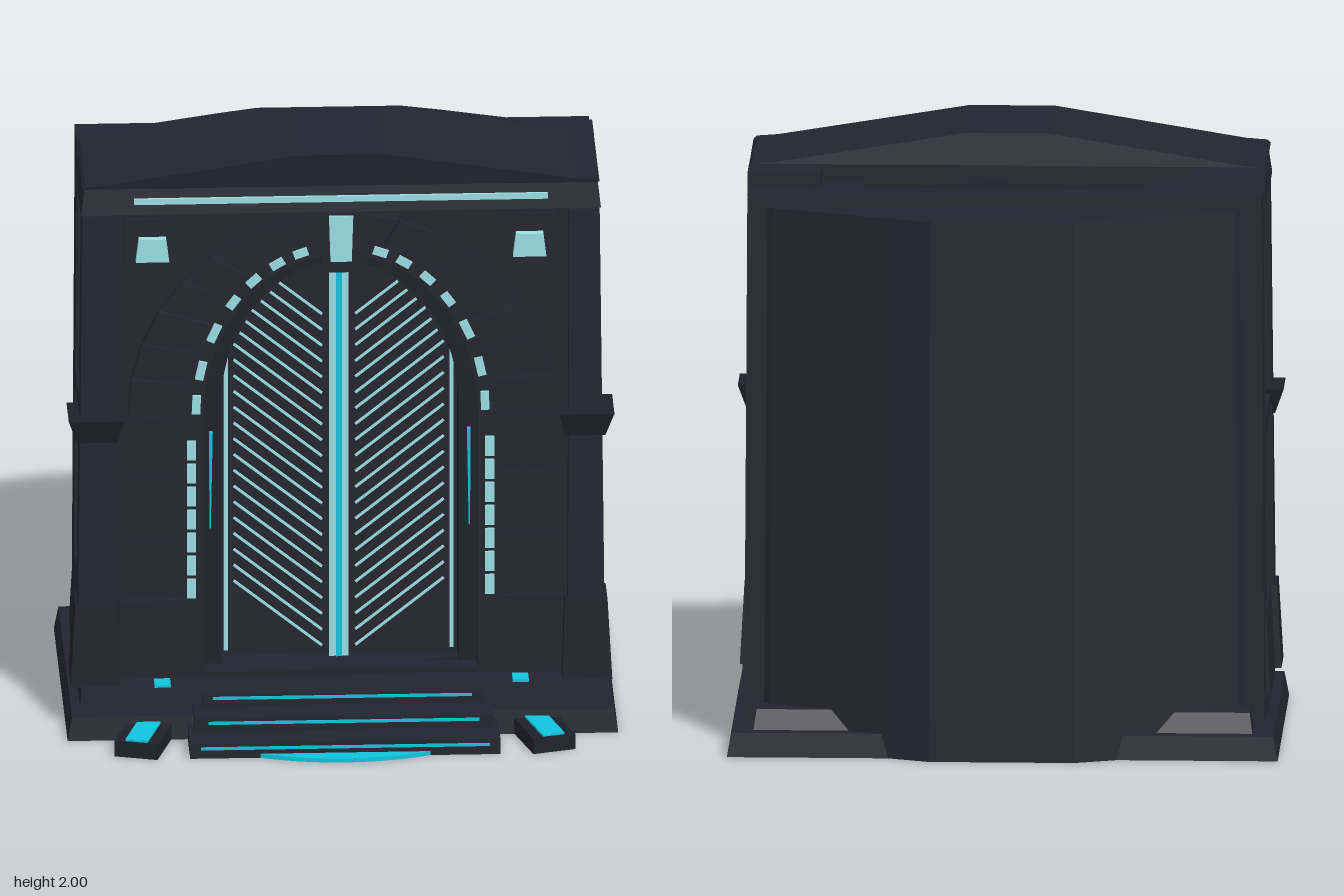
import * as THREE from 'three';

const mat = (name, color) => Object.assign(new THREE.MeshStandardMaterial({ color }), { name });

export function createModel() {
  const stone = mat('dark stone', 0x242430);
  const trim = mat('darker trim', 0x20202a);
  const pale = mat('pale light', 0x9adfe3);
  const cyan = mat('cyan light', 0x12c4dc);
  const root = new THREE.Group();
  root.name = 'gateMonument';
  const SPRING = 1.08;

  const add = (name, geo, material, parent = root) => {
    const m = new THREE.Mesh(geo, material);
    m.name = name;
    parent.add(m);
    return m;
  };
  const box = (name, x0, x1, y0, y1, z0, z1, material) => {
    const m = add(name, new THREE.BoxGeometry(x1 - x0, y1 - y0, z1 - z0), material);
    m.position.set((x0 + x1) / 2, (y0 + y1) / 2, (z0 + z1) / 2);
    return m;
  };
  // Box whose bottom and top rectangles [x0, x1, z0, z1] differ
  const taper = (name, y0, y1, b, t, material) => {
    const g = new THREE.BoxGeometry(1, 1, 1).toNonIndexed();
    const p = g.attributes.position;
    for (let i = 0; i < p.count; i++) {
      const up = p.getY(i) > 0, r = up ? t : b;
      p.setXYZ(i, p.getX(i) > 0 ? r[1] : r[0], up ? y1 : y0, p.getZ(i) > 0 ? r[3] : r[2]);
    }
    g.computeVertexNormals();
    return add(name, g, material);
  };
  const poly = pts => new THREE.Shape(pts.map(p => new THREE.Vector2(p[0], p[1])));
  const extrude = (name, shape, z0, z1, material) => {
    const g = new THREE.ExtrudeGeometry(shape, { depth: z1 - z0, bevelEnabled: false, curveSegments: 24 });
    return add(name, g.translate(0, 0, z0), material);
  };
  // Outline of a round-headed opening
  const archPoints = (rx, ry, y0) => {
    const pts = [[-rx, y0], [rx, y0]];
    for (let i = 0; i <= 28; i++) {
      const a = Math.PI * i / 28;
      pts.push([rx * Math.cos(a), SPRING + ry * Math.sin(a)]);
    }
    return pts;
  };
  const mirrored = fn => [-1, 1].forEach(fn);
  // Box on one side, given by its distances from the middle
  const sideBox = (s, name, a, b, ...rest) =>
    box(name, Math.min(s * a, s * b), Math.max(s * a, s * b), ...rest);
  const sideTaper = (s, name, y0, y1, b, t, material) => {
    const f = r => s > 0 ? r : [-r[1], -r[0], r[2], r[3]];
    return taper(name, y0, y1, f(b), f(t), material);
  };

  // Base and plinth
  taper('base', 0, 0.08, [-0.905, 0.905, -0.61, 0.425], [-0.89, 0.89, -0.6, 0.415], stone);
  taper('plinth', 0.08, 0.152, [-0.86, 0.86, -0.3, 0.335], [-0.855, 0.855, -0.3, 0.33], stone);
  taper('rearPlinth', 0.08, 0.145, [-0.82, 0.82, -0.555, -0.28], [-0.81, 0.81, -0.53, -0.28], stone);

  // Solid core and portal wall with its arched opening
  taper('core', 0.15, 1.8, [-0.845, 0.845, -0.28, 0.09], [-0.83, 0.83, -0.27, 0.09], stone);
  const wall = poly([[-0.8, 0.15], [0.8, 0.15], [0.8, 1.8], [-0.8, 1.8]]);
  wall.holes.push(new THREE.Path(archPoints(0.45, 0.55, 0.17).map(p => new THREE.Vector2(...p))));
  extrude('portalWall', wall, 0.09, 0.25, stone);
  const frame = poly(archPoints(0.46, 0.56, 0.16));
  frame.holes.push(new THREE.Path(archPoints(0.39, 0.5, 0.17).map(p => new THREE.Vector2(...p))));
  extrude('doorFrame', frame, 0.09, 0.18, trim);
  extrude('door', poly(archPoints(0.395, 0.505, 0.15)), 0.08, 0.1, stone);

  // Wedge stones around the arch
  const COUNT = 17;
  for (let i = 0; i < COUNT; i++) {
    const a0 = Math.PI * (i + 0.03) / COUNT, a1 = Math.PI * (i + 0.97) / COUNT;
    const at = (rx, ry, a) => [rx * Math.cos(a), SPRING + ry * Math.sin(a)];
    const shape = poly([at(0.51, 0.61, a0), at(0.7, 0.7, a0), at(0.7, 0.7, a1), at(0.51, 0.61, a1)]);
    extrude('archStone', shape, 0.24, i % 2 ? 0.268 : 0.275, stone);
  }
  extrude('keystone', poly([[-0.06, 1.58], [0.06, 1.58], [0.075, 1.79], [-0.075, 1.79]]), 0.24, 0.284, stone);
  extrude('keystoneLight', poly([[-0.035, 1.62], [0.035, 1.62], [0.04, 1.78], [-0.04, 1.78]]), 0.284, 0.292, pale);

  // Centre light of the door
  box('doorCentreLight', -0.032, 0.032, 0.16, 1.58, 0.1, 0.125, pale);
  box('doorCentreLine', -0.01, 0.01, 0.17, 1.58, 0.125, 0.13, cyan);

  mirrored(s => {
    // Door edge light and slanting ribs
    sideBox(s, 'doorEdgeLight', 0.364, 0.378, 0.19, 1.235, 0.1, 0.112, pale);
    for (let k = 0; k < 22; k++) {
      const y0 = 0.2 + k * 0.0555;
      let x = 0.055;
      while (x < 0.345) {
        const y = y0 + 0.8 * (x - 0.055);
        if (y > SPRING && (x / 0.37) ** 2 + ((y - SPRING) / 0.46) ** 2 > 1) break;
        x += 0.005;
      }
      const dx = x - 0.055, dy = 0.8 * dx;
      if (dx < 0.03) continue;
      const rib = add('doorRib', new THREE.BoxGeometry(Math.hypot(dx, dy), 0.008, 0.008), pale);
      rib.position.set(s * (0.055 + dx / 2), y0 + dy / 2, 0.103);
      rib.rotation.z = s * Math.atan(0.8);
    }

    // Lights on the jambs and around the arch
    for (let k = 0; k < 7; k++) {
      const y = 0.43 + k * 0.081;
      sideBox(s, 'jambLight', 0.475, 0.505, y, y + 0.068, 0.25, 0.258, pale);
    }
    [3, 15, 29, 42, 53, 64, 74].forEach((deg, i) => {
      const a = THREE.MathUtils.degToRad(deg);
      const m = add('archLight', new THREE.BoxGeometry(0.028, i < 3 ? 0.065 : 0.048, 0.008), pale);
      m.position.set(s * 0.475 * Math.cos(a), SPRING + 0.58 * Math.sin(a), 0.254);
      m.rotation.z = s * Math.atan2(0.475 * Math.sin(a), 0.58 * Math.cos(a));
    });
    sideTaper(s, 'revealLight', 0.65, 0.99, [0.424, 0.428, 0.181, 0.19], [0.418, 0.43, 0.181, 0.2], cyan);

    // Low wall courses beside the door
    [[0.16, 0.43], [0.436, 0.64], [0.646, 0.86], [0.866, 1.07]].forEach(([y0, y1], i) =>
      sideBox(s, 'jambBlock', 0.525, 0.73, y0, y1, 0.24, i ? 0.262 : 0.275, stone));

    // Corner pillar, foot, flared band and capital
    sideTaper(s, 'pillarFoot', 0.15, 0.425, [0.725, 0.89, 0.14, 0.325], [0.735, 0.875, 0.16, 0.31], trim);
    sideTaper(s, 'sideFoot', 0.15, 0.425, [0.7, 0.87, -0.285, 0.16], [0.7, 0.855, -0.28, 0.16], stone);
    sideTaper(s, 'pillar', 0.42, 1.79, [0.745, 0.865, 0.165, 0.305], [0.75, 0.85, 0.165, 0.29], stone);
    sideTaper(s, 'pillarBand', 1.0, 1.085, [0.735, 0.868, 0.175, 0.303], [0.715, 0.897, 0.15, 0.33], trim);
    sideBox(s, 'sideBand', 0.8, 0.852, 1.0, 1.07, -0.277, 0.17, stone);
    sideTaper(s, 'rearPillar', 0.42, 1.79, [0.75, 0.856, -0.28, -0.225], [0.75, 0.845, -0.272, -0.225], stone);

    // Upper corner block and its light
    sideBox(s, 'cornerPanel', 0.54, 0.71, 1.6, 1.77, 0.24, 0.27, stone);
    const l = [[0.575, 1.71], [0.665, 1.71], [0.675, 1.63], [0.565, 1.63]];
    extrude('cornerLight', poly(l.map(p => [s * p[0], p[1]])), 0.27, 0.298, pale);

    // Raised ends behind the roof
    sideBox(s, 'rearCornerBlock', 0.61, 0.85, 1.79, 1.89, -0.272, -0.14, stone);
    sideBox(s, 'rearSmallBlock', 0.47, 0.61, 1.79, 1.84, -0.27, -0.14, stone);

    // Splayed floor lamps and small step lights
    const lamp = new THREE.Group();
    lamp.name = 'floorLamp';
    lamp.position.set(s * 0.66, 0, 0.495);
    lamp.rotation.y = s * 0.28;
    root.add(lamp);
    add('lampBody', new THREE.BoxGeometry(0.145, 0.054, 0.2), trim, lamp).position.y = 0.027;
    add('lampLight', new THREE.BoxGeometry(0.075, 0.008, 0.185), cyan, lamp).position.y = 0.057;
    sideBox(s, 'stepLight', 0.562, 0.615, 0.15, 0.16, 0.28, 0.34, cyan);
  });

  // Cornice, light strip and sloped roof
  taper('cornice', 1.79, 1.895, [-0.855, 0.855, -0.15, 0.275], [-0.84, 0.84, -0.15, 0.26], stone);
  box('corniceLight', -0.68, 0.68, 1.825, 1.845, 0.262, 0.277, pale);
  const roof = extrude('roof', poly([[-0.85, 1.885], [0.85, 1.885], [0.84, 1.895], [0.77, 1.9],
    [0.14, 2], [-0.14, 2], [-0.77, 1.9], [-0.84, 1.895]]), -0.15, 0.285, stone);
  const rp = roof.geometry.attributes.position;
  for (let i = 0; i < rp.count; i++) rp.setZ(i, rp.getZ(i) + (rp.getY(i) - 1.885) * 0.14);
  roof.geometry.computeVertexNormals();

  // Low vault behind the roof
  const vault = [];
  for (let i = 0; i <= 16; i++) vault.push([0.41 * Math.cos(Math.PI * i / 16), 1.78 + 0.06 * Math.sin(Math.PI * i / 16)]);
  extrude('rearVault', poly(vault), -0.268, -0.14, trim);

  // Rear slab and bowed back wall
  taper('rearSlab', 0.08, 1.85, [-0.855, 0.855, -0.425, -0.28], [-0.845, 0.845, -0.408, -0.3], stone);
  const bow = [[-0.79, 0.43], [0.79, 0.43], [0.77, 0.445], [0.37, 0.612], [0.24, 0.66], [-0.24, 0.66], [-0.37, 0.612], [-0.77, 0.445]];
  const back = new THREE.ExtrudeGeometry(poly(bow), { depth: 1.81, bevelEnabled: false });
  back.rotateX(-Math.PI / 2);
  const bp = back.attributes.position;
  for (let i = 0; i < bp.count; i++) {
    const k = bp.getY(i) / 1.81;
    bp.setX(i, bp.getX(i) * (1 - 0.015 * k));
    bp.setZ(i, -0.43 + (bp.getZ(i) + 0.43) * (1 - 0.11 * k));
  }
  back.computeVertexNormals();
  add('bowedBackWall', back, stone);

  // Front steps with light lines under each tread
  [[0.51, 0.605, 0.052, 0.035, 0.475], [0.49, 0.495, 0.098, 0.082, 0.445], [0.46, 0.387, 0.14, 0.128, 0.425]]
    .forEach(([w, z, y, ly, lw]) => {
      box('step', -w, w, 0, y, 0.3, z, stone);
      box('stepLine', -lw, lw, ly - 0.005, ly + 0.005, z, z + 0.004, cyan);
    });

  // Curved floor light before the steps
  const disc = [[-0.29, -0.6], [0.29, -0.6]].map(p => [p[0], p[1]]);
  const arc = [];
  for (let i = 0; i <= 20; i++) {
    const x = -0.29 + 0.58 * i / 20;
    arc.push([x, -(Math.sqrt(0.74 ** 2 - x * x) - 0.08)]);
  }
  const floor = new THREE.ExtrudeGeometry(poly([...arc, ...disc.reverse()]), { depth: 0.014, bevelEnabled: false });
  add('floorLight', floor.rotateX(-Math.PI / 2), cyan);

  return root;
}
